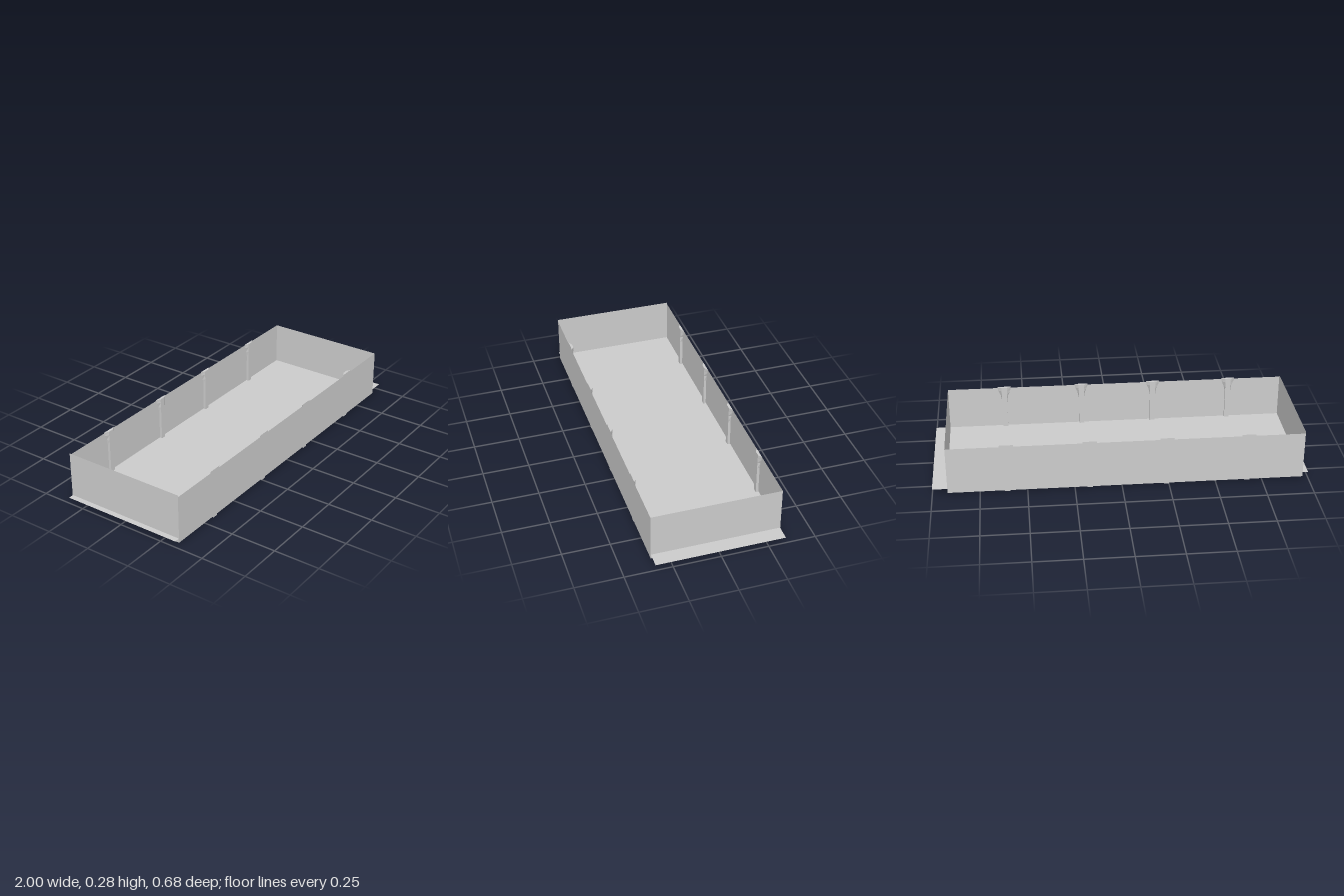
import * as THREE from 'three';

const material = new THREE.MeshStandardMaterial({ color: 0xcccccc, side: THREE.DoubleSide, flatShading: true });

// Tapered solid lofted through trapezoid sections: [y, outer half width, inner half width]
function loft(sections, depth) {
  const corners = sections.map(([y, outer, inner]) => [
    [-outer, y, 0], [outer, y, 0], [inner, y, depth], [-inner, y, depth],
  ]);
  const pos = [];
  const quad = (a, b, c, d) => pos.push(...a, ...b, ...c, ...a, ...c, ...d);
  for (let i = 0; i < corners.length - 1; i++) {
    for (let j = 0; j < 4; j++) {
      const k = (j + 1) % 4;
      quad(corners[i][k], corners[i][j], corners[i + 1][j], corners[i + 1][k]);
    }
  }
  quad(...corners[0]);
  quad(...corners[corners.length - 1].slice().reverse());
  const geometry = new THREE.BufferGeometry();
  geometry.setAttribute('position', new THREE.Float32BufferAttribute(pos, 3));
  geometry.computeVertexNormals();
  return geometry;
}

export function createModel() {
  const model = new THREE.Group();
  model.name = 'openTray';
  const add = (name, geometry, x, y, z, ry = 0, rx = 0) => {
    const mesh = new THREE.Mesh(geometry, material);
    mesh.name = name;
    mesh.position.set(x, y, z);
    mesh.rotation.set(rx, ry, 0);
    model.add(mesh);
    return mesh;
  };

  const xMin = -0.97, xMax = 0.92, halfDepth = 0.34;
  const bottom = 0.009, top = 0.27, floorY = 0.033;

  // Floor sheet, sticking out past both end walls
  add('floor', new THREE.PlaneGeometry(2, 2 * halfDepth), 0, floorY, 0, 0, -Math.PI / 2);

  // Thin long walls
  const long = new THREE.PlaneGeometry(xMax - xMin, top - bottom);
  const midX = (xMin + xMax) / 2;
  add('frontWall', long, midX, (top + bottom) / 2, halfDepth + 0.001);
  add('backWall', long, midX, (top + bottom) / 2, -halfDepth - 0.001, Math.PI);

  // Thin end walls, one slightly taller
  for (const [name, x, height, turn] of [
    ['leftWall', xMax, top, 1], ['rightWall', xMin, 0.28, -1],
  ]) {
    const wall = new THREE.PlaneGeometry(2 * halfDepth + 0.002, height - bottom);
    add(name, wall, x, (height + bottom) / 2, 0, turn * Math.PI / 2);
  }

  // Flared posts on both long walls, joined by beams under the floor
  const post = loft([
    [0.005, 0.014, 0.014],
    [0.19, 0.014, 0.014],
    [0.225, 0.021, 0.014],
    [0.255, 0.034, 0.015],
    [0.277, 0.038, 0.016],
  ], 0.014);
  const beam = new THREE.BoxGeometry(0.028, floorY, 0.673);
  for (const x of [-0.67, -0.237, 0.17, 0.605]) {
    add('frontPost', post, x, 0, 0.34, Math.PI);
    add('backPost', post, x, 0, -0.338);
    add('floorBeam', beam, x, floorY / 2 - 0.0005, 0.0035);
  }

  // Rest the beams on the ground
  model.children.forEach((m) => { m.position.y += 0.0005; });
  return model;
}
